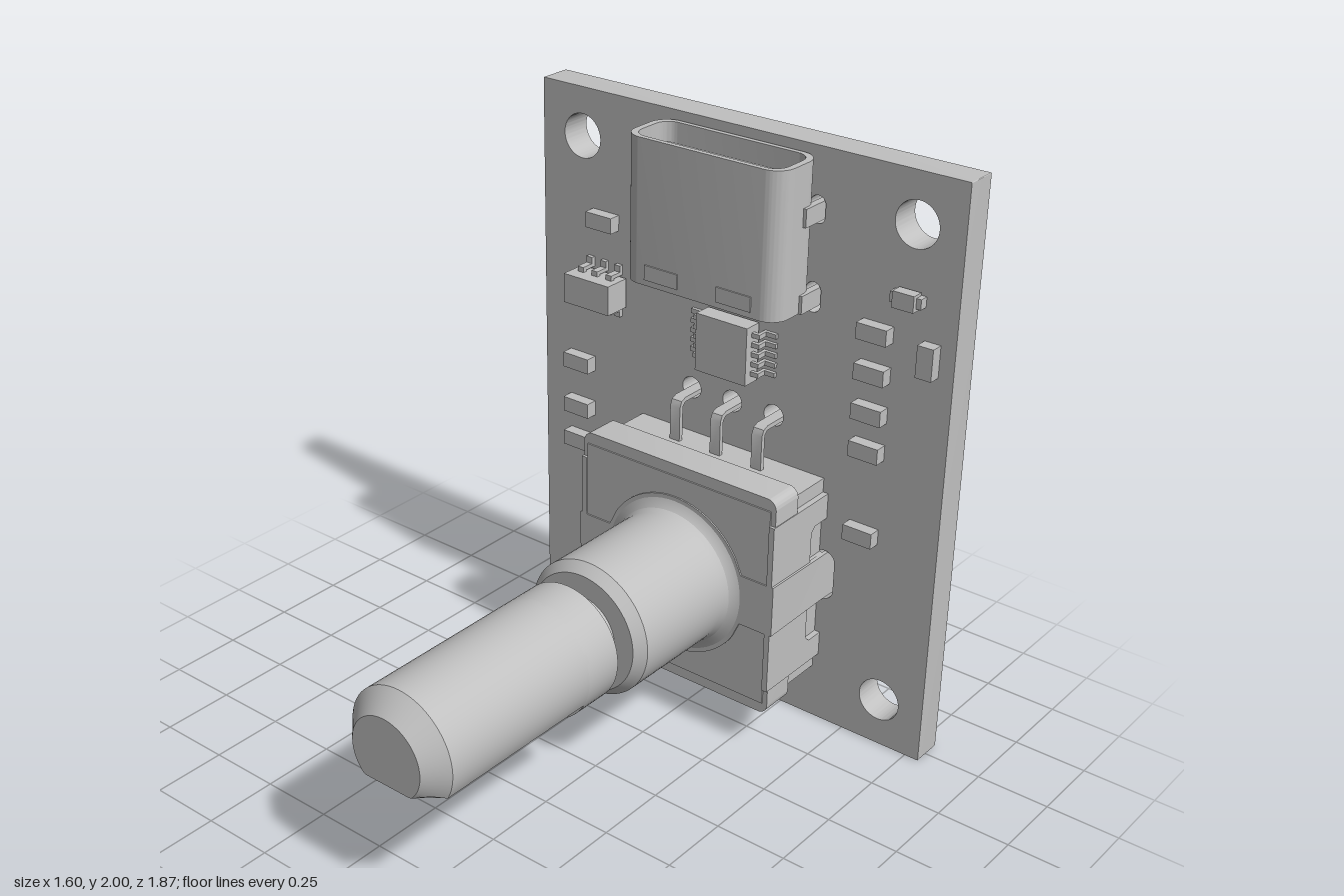
import * as THREE from 'three';
import { toCreasedNormals } from 'three/addons/utils/BufferGeometryUtils.js';

export function createModel() {
  const root = new THREE.Group();
  root.name = 'encoderBoard';
  const grey = new THREE.MeshStandardMaterial({ color: 0xc0c0c0 });
  grey.name = 'light grey';

  const add = (name, geometry) => {
    const mesh = new THREE.Mesh(geometry, grey);
    mesh.name = name;
    root.add(mesh);
    return mesh;
  };
  // Box given by its limits on each axis
  const box = (name, x0, x1, y0, y1, z0, z1) =>
    add(name, new THREE.BoxGeometry(x1 - x0, y1 - y0, z1 - z0)
      .translate((x0 + x1) / 2, (y0 + y1) / 2, (z0 + z1) / 2));
  const extrude = (shape, depth) => toCreasedNormals(
    new THREE.ExtrudeGeometry(shape, { depth, bevelEnabled: false, curveSegments: 12 }), 0.6);
  const slab = (name, shape, z0, z1) => add(name, extrude(shape, z1 - z0).translate(0, 0, z0));
  // Rounded rectangle centred on cx, cy; also used for round holes and slots
  const rounded = (cx, cy, w, h, r, Type = THREE.Shape) => {
    const s = new Type(), a = w / 2 - r, b = h / 2 - r, q = Math.PI / 2;
    [[a, b], [-a, b], [-a, -b], [a, -b]].forEach(([x, y], i) =>
      s.absarc(cx + x, cy + y, r, i * q, (i + 1) * q, false));
    s.closePath();
    return s;
  };
  const polygon = pts => new THREE.Shape(pts.map(p => new THREE.Vector2(...p)));

  // Circuit board with mounting holes, pin holes and slots
  const board = rounded(0, 1, 1.6, 2, 0.002);
  const hole = (x, y, w, h = w) =>
    board.holes.push(rounded(x, y, w, h, Math.min(w, h) / 2 - 0.0005, THREE.Path));
  for (const s of [-1, 1]) {
    hole(s * 0.635, 0.17, 0.15);
    hole(s * 0.635, 1.835, 0.15);
    hole(s * 0.165, 0.1, 0.07);
    hole(s * 0.165, 1.07, 0.075);
    hole(s * 0.39, 0.56, 0.08, 0.18);
    hole(s * 0.29, 1.8, 0.055, 0.09);
    hole(s * 0.29, 1.515, 0.055, 0.1);
    hole(s * 0.2, 1.53, 0.035);
  }
  hole(0, 1.07, 0.075);
  slab('board', board, -0.81, -0.7);

  // Encoder housing and its metal frame
  box('encoderHousing', -0.37, 0.37, 0.195, 0.91, -0.7, -0.405);
  slab('encoderFrame', rounded(0, 0.553, 0.775, 0.795, 0.035), -0.53, -0.41);
  for (const s of [-1, 1]) {
    // Side wall with two notches at the board, drawn in z and y
    const wall = polygon([[-0.7, 0.25], [-0.4, 0.25], [-0.4, 0.86], [-0.7, 0.86],
      [-0.7, 0.77], [-0.635, 0.77], [-0.615, 0.75], [-0.615, 0.64], [-0.7, 0.64],
      [-0.7, 0.465], [-0.615, 0.465], [-0.615, 0.355], [-0.635, 0.335], [-0.7, 0.335]]);
    add('encoderSideWall', extrude(wall, 0.02).rotateY(-Math.PI / 2)
      .translate(s > 0 ? 0.39 : -0.37, 0, 0).scale(1, 1, 1)).geometry = sideOf(wall, s);

    // Bent snap-in leg: a box whose cross-sections follow a path
    const path = [[-0.4, 0.39, 0.09], [-0.7, 0.39, 0.085], [-0.79, 0.395, 0.083],
      [-0.84, 0.415, 0.083], [-0.88, 0.39, 0.075], [-0.93, 0.385, 0.028]];
    const leg = new THREE.BoxGeometry(1, 1, 5, 1, 1, path.length - 1);
    const p = leg.attributes.position;
    for (let i = 0; i < p.count; i++) {
      const [z, x, half] = path[Math.round(2.5 - p.getZ(i))];
      p.setXYZ(i, s * x + p.getX(i) * 0.014, 0.557 + p.getY(i) * 2 * half, z);
    }
    add('snapLeg', toCreasedNormals(leg, 0.3));
  }
  // Wall profile in (z, y) turned to stand across x
  function sideOf(wall, s) {
    return extrude(wall, 0.02).rotateY(-Math.PI / 2).applyMatrix4(
      new THREE.Matrix4().makeTranslation(s > 0 ? 0.39 : -0.37, 0, 0));
  }

  // Raised face plate: a disc with one arm on each side
  const face = new THREE.Shape();
  face.absarc(0, 0.553, 0.285, 0.55, Math.PI - 0.55, false);
  [[-0.27, 0.645], [-0.39, 0.645], [-0.39, 0.465], [-0.27, 0.465]].forEach(q => face.lineTo(...q));
  face.absarc(0, 0.553, 0.285, Math.PI + 0.55, 2 * Math.PI - 0.55, false);
  [[0.27, 0.465], [0.39, 0.465], [0.39, 0.645], [0.27, 0.645]].forEach(q => face.lineTo(...q));
  slab('encoderFacePlate', face, -0.41, -0.4);

  // Turned parts: profile of [radius, z], axis along z
  const turned = (name, profile, flat) => {
    const g = new THREE.LatheGeometry(profile.map(q => new THREE.Vector2(...q)), 64).rotateX(Math.PI / 2);
    if (flat !== undefined) {
      const p = g.attributes.position;
      for (let i = 0; i < p.count; i++) p.setY(i, Math.max(p.getY(i), flat));
    }
    add(name, toCreasedNormals(g, 0.4)).position.y = 0.553;
  };
  turned('bushing', [[0.275, -0.402], [0.256, -0.394], [0.241, -0.38], [0.233, -0.355],
    [0.233, 0.03], [0.203, 0.065], [0, 0.065]]);
  turned('shaftNeck', [[0.13, 0.05], [0.13, 0.14]]);
  turned('shaftCollar', [[0, 0.135], [0.2, 0.135], [0.2, 0.27], [0, 0.27]]);
  turned('shaft', [[0.2, 0.26], [0.2, 0.87], [0.135, 0.935], [0, 0.935]], -0.098);

  // Bent encoder pins, an L strip drawn in z and y
  const pin = (x, yStart, yEnd, z) => {
    const d = Math.sign(yEnd - yStart), t = 0.016, r = 0.03;
    const s = polygon([[z, yStart], [z, yEnd - d * r], [z - r * 0.3, yEnd - d * r * 0.3], [z - r, yEnd],
      [-0.93, yEnd], [-0.93, yEnd - d * t], [z - r, yEnd - d * t], [z - t, yEnd - d * r], [z - t, yStart]]);
    add('encoderPin', extrude(s, 0.04).rotateY(-Math.PI / 2).translate(x + 0.02, 0, 0));
  };
  for (const x of [-0.165, 0, 0.165]) pin(x, 0.9, 1.062, -0.61);
  for (const x of [-0.165, 0.165]) pin(x, 0.2, 0.08, -0.595);

  // Port: open rounded shell, inner block and tongue
  const shell = rounded(0, 0, 0.596, 0.205, 0.065);
  shell.holes.push(rounded(0, 0, 0.55, 0.17, 0.05, THREE.Path));
  const upright = (name, shape, y0, y1) =>
    add(name, extrude(shape, y1 - y0).rotateX(-Math.PI / 2).translate(0, y0, -0.592));
  upright('portShell', shell, 1.49, 1.97);
  upright('portBack', rounded(0, 0, 0.555, 0.175, 0.05), 1.5, 1.6);
  upright('portTongue', rounded(0, 0, 0.44, 0.035, 0.016), 1.58, 1.93);
  for (const s of [-1, 1]) {
    for (const y of [1.8, 1.52]) {
      box('portLeg', s * 0.297 - 0.012, s * 0.297 + 0.012, y - 0.03, y + 0.03, -0.73, -0.61);
    }
    // Folded lip at the rear of the shell
    box('portLip', s * 0.14 - 0.065, s * 0.14 + 0.065, 1.51, 1.56, -0.492, -0.485);
  }
  for (let i = 0; i < 12; i++) {
    const x = -0.205 + i * 0.0373;
    box('portContact', x - 0.009, x + 0.009, 1.45, 1.51, -0.7, -0.675);
  }

  // Controller chip with five leads on each side
  box('controllerChip', -0.1, 0.1, 1.18, 1.38, -0.69, -0.625);
  for (const s of [-1, 1]) for (let i = 0; i < 5; i++) {
    const y = 1.215 + i * 0.0335;
    const lead = (a, b, z0, z1) =>
      box('chipLead', Math.min(s * a, s * b), Math.max(s * a, s * b), y - 0.008, y + 0.008, z0, z1);
    lead(0.095, 0.13, -0.665, -0.652);
    lead(0.118, 0.13, -0.7, -0.652);
    lead(0.118, 0.168, -0.7, -0.688);
  }

  // Regulator with six stepped leads
  box('regulator', -0.63, -0.44, 1.285, 1.388, -0.69, -0.595);
  for (const x of [-0.595, -0.535, -0.475]) for (const s of [-1, 1]) {
    const lead = (a, b, z0, z1) => box('regulatorLead', x - 0.012, x + 0.012,
      1.336 + Math.min(s * a, s * b), 1.336 + Math.max(s * a, s * b), z0, z1);
    lead(0.045, 0.07, -0.655, -0.64);
    lead(0.057, 0.07, -0.7, -0.64);
    lead(0.057, 0.092, -0.7, -0.685);
  }

  // Small chip components
  const chips = [[-0.535, 1.57], [-0.635, 1.035], [-0.635, 0.865], [-0.635, 0.735], [0.53, 1.47],
    [0.53, 1.335], [0.53, 1.2], [0.53, 1.07], [0.53, 0.77]];
  for (const [x, y] of chips) box('chipComponent', x - 0.054, x + 0.054, y - 0.027, y + 0.027, -0.7, -0.658);
  box('chipComponentUpright', 0.692, 0.748, 1.376, 1.482, -0.7, -0.658);
  box('diode', 0.595, 0.67, 1.578, 1.632, -0.695, -0.655);
  for (const x of [0.588, 0.677]) box('diodeEnd', x - 0.01, x + 0.01, 1.588, 1.622, -0.7, -0.67);

  return root;
}
